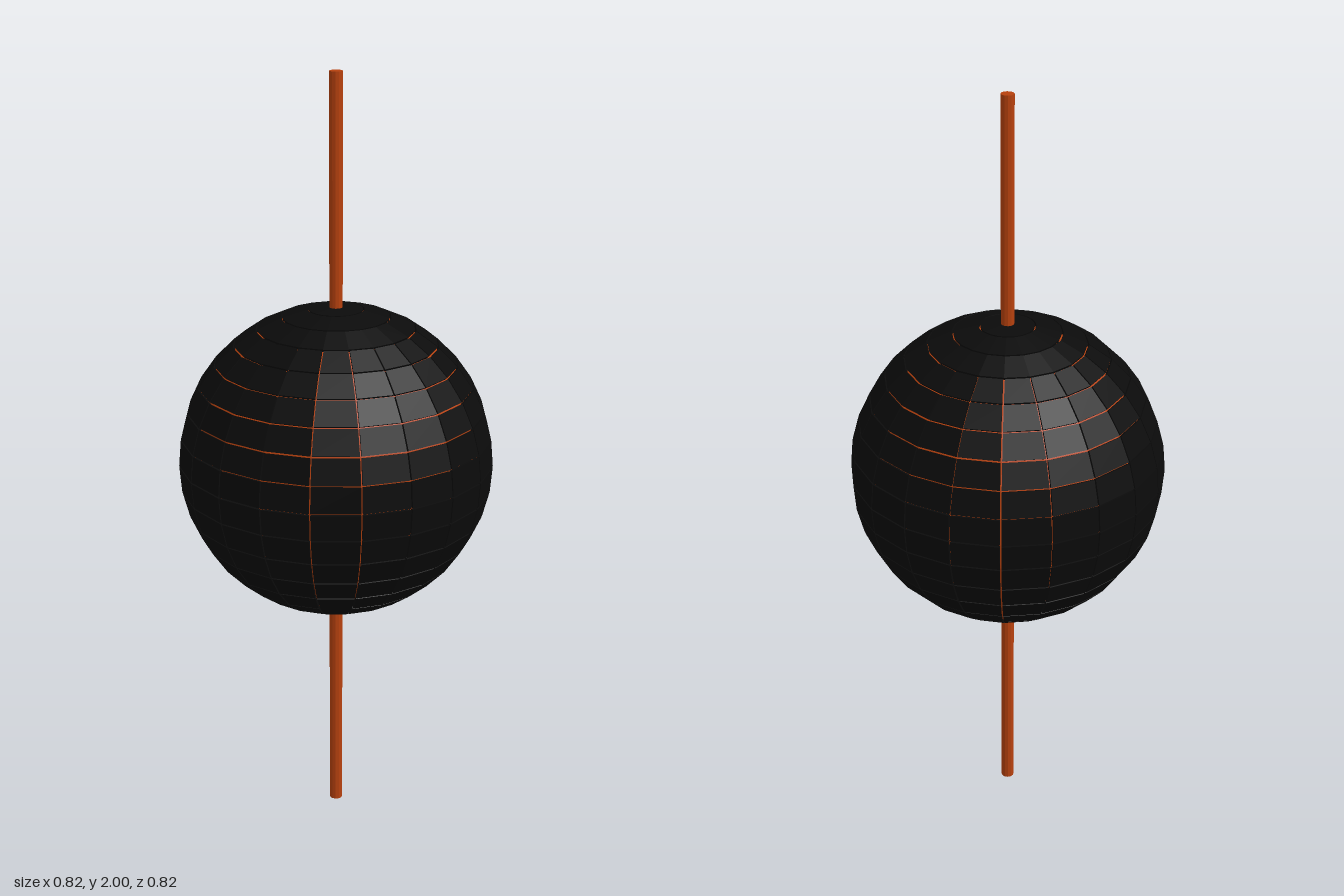
import * as THREE from 'three';

const SEGMENTS = 20, ROWS = 18, CAP_ROWS = 3;
const CORE = 0.4, OUTER = 0.408, GAP = 0.004;
const STEP = Math.PI / ROWS, SECTOR = (2 * Math.PI) / SEGMENTS;

const rust = new THREE.MeshStandardMaterial({ color: 0xb7410e, flatShading: true });
const black = new THREE.MeshStandardMaterial({ color: 0x0b0b0b, flatShading: true });

// Polar angles bounding a row, inset by half a gap except at the poles
function rowAngles(row) {
  const inset = GAP / 2 / OUTER;
  return [
    row === 0 ? 0 : row * STEP + inset,
    row === ROWS - 1 ? Math.PI : (row + 1) * STEP - inset,
  ];
}

// One flat tile: a box bent into spherical coordinates
function tileGeometry(row) {
  const [top, bottom] = rowAngles(row);
  const geometry = new THREE.BoxGeometry(1, 1, 1);
  const p = geometry.attributes.position;
  for (let i = 0; i < p.count; i++) {
    const theta = p.getY(i) > 0 ? top : bottom;
    const r = p.getZ(i) > 0 ? OUTER : CORE - 0.004;
    const ring = r * Math.sin(theta);
    const phi = Math.sign(p.getX(i)) * (SECTOR / 2 - GAP / 2 / ring);
    p.setXYZ(i, ring * Math.sin(phi), r * Math.cos(theta), ring * Math.cos(phi));
  }
  geometry.computeVertexNormals();
  return geometry;
}

// Unbroken ring near a pole
function ringGeometry(row) {
  const [top, bottom] = rowAngles(row);
  const inner = CORE - 0.004;
  const profile = [[OUTER, bottom], [OUTER, top], [inner, top], [inner, bottom], [OUTER, bottom]]
    .map(([r, t]) => new THREE.Vector2(Math.max(0, r * Math.sin(t)), r * Math.cos(t)));
  return new THREE.LatheGeometry(profile, SEGMENTS);
}

export function createModel() {
  const model = new THREE.Group();

  // Vertical rod through the ball
  const rod = new THREE.Mesh(new THREE.CylinderGeometry(0.017, 0.017, 2, 12), rust);
  rod.name = 'rod';
  rod.position.y = 1;
  model.add(rod);

  const ball = new THREE.Group();
  ball.name = 'ball';
  ball.position.y = 1;
  model.add(ball);

  // Core seen through the gaps
  const core = new THREE.Mesh(new THREE.SphereGeometry(CORE, SEGMENTS, ROWS), rust);
  core.name = 'core';
  ball.add(core);

  // Rows of tiles, closed by plain rings at both poles
  for (let row = 0; row < ROWS; row++) {
    if (row < CAP_ROWS || row >= ROWS - CAP_ROWS) {
      const ring = new THREE.Mesh(ringGeometry(row), black);
      ring.name = 'poleRing';
      ball.add(ring);
      continue;
    }
    const tiles = new THREE.Group();
    tiles.name = 'tileRow';
    const geometry = tileGeometry(row);
    for (let i = 0; i < SEGMENTS; i++) {
      const tile = new THREE.Mesh(geometry, black);
      tile.name = 'tile';
      tile.rotation.y = (i + 0.5) * SECTOR;
      tiles.add(tile);
    }
    ball.add(tiles);
  }
  return model;
}
